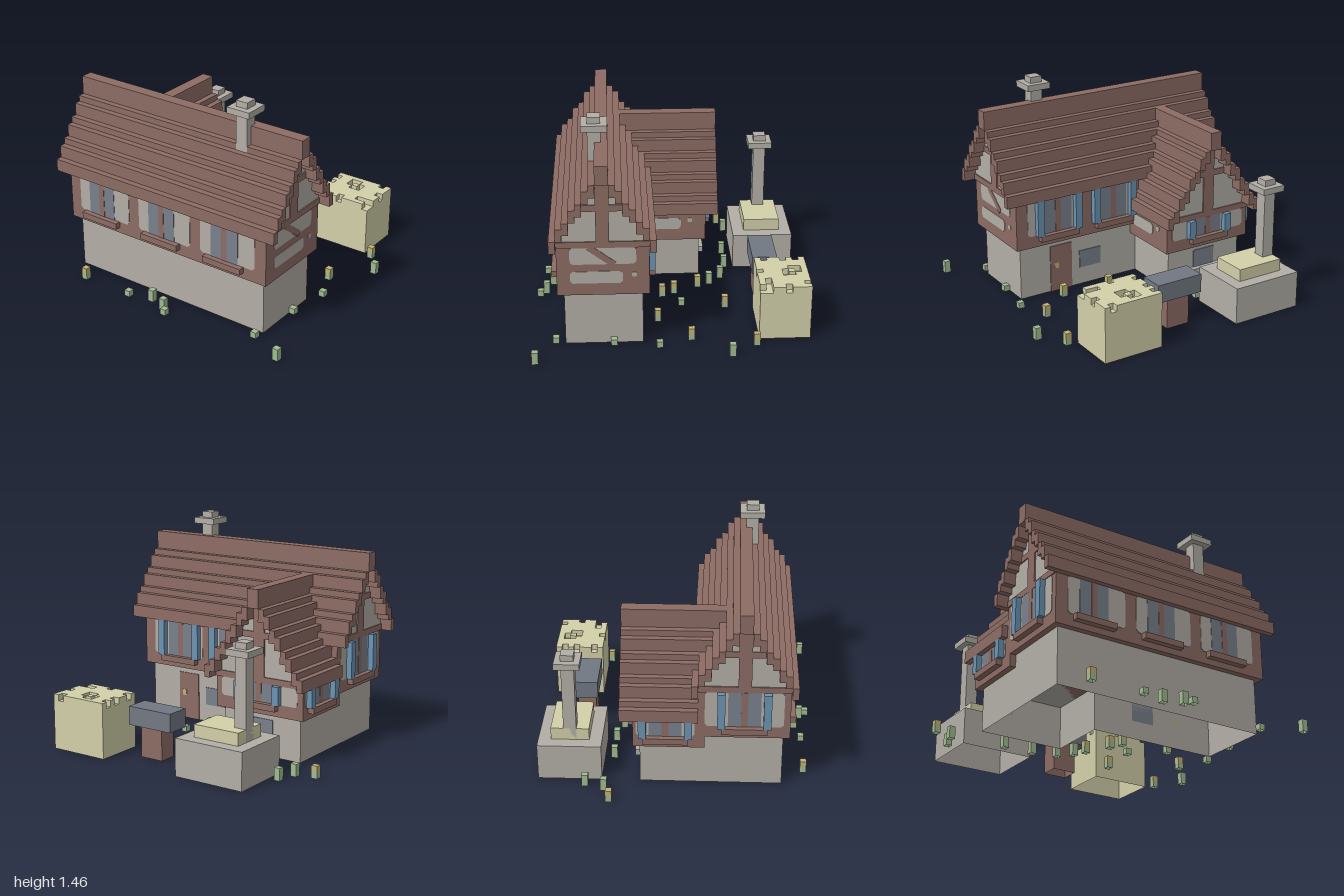
import * as THREE from 'three';

const mat = (name, color) =>
  Object.assign(new THREE.MeshStandardMaterial({ color, side: THREE.DoubleSide }), { name });

export function createModel() {
  const timber = mat('timber', 0x8d6c64), stone = mat('stone and plaster', 0xb3afa7);
  const glass = mat('glass', 0x7a818d), blue = mat('shutter blue', 0x6c94b3);
  const iron = mat('iron', 0x727883), straw = mat('straw', 0xd3d0a9);
  const leaf = mat('grass', 0xa1bb92), gold = mat('flower gold', 0xc0b378);

  // Everything is laid out in blocks; 24 blocks make one unit
  const model = new THREE.Group();
  model.name = 'cottageWithForge';
  model.scale.setScalar(1 / 24);

  const group = (name, parent = model) => {
    const g = new THREE.Group();
    g.name = name;
    parent.add(g);
    return g;
  };
  const box = (name, m, x0, x1, y0, y1, z0, z1, parent = model) => {
    const mesh = new THREE.Mesh(new THREE.BoxGeometry(x1 - x0, y1 - y0, z1 - z0), m);
    mesh.position.set((x0 + x1) / 2, (y0 + y1) / 2, (z0 + z1) / 2);
    mesh.name = name;
    parent.add(mesh);
    return mesh;
  };
  // Leaves out sides of a box; sides are +x, -x, +y, -y, +z, -z
  const open = (mesh, sides) => {
    const index = Array.from(mesh.geometry.index.array);
    mesh.geometry.setIndex(index.filter((_, i) => !sides.includes(Math.floor(i / 6))));
    mesh.geometry.clearGroups();
  };
  // A wall face: local x runs along the wall, local z points outward
  const face = (name, x, z, turn) => {
    const g = group(name);
    g.position.set(x, 0, z);
    g.rotation.y = turn * Math.PI / 2;
    return g;
  };
  const plate = (name, m, f, x0, x1, y0, y1, t) => box(name, m, x0, x1, y0, y1, 0, t, f);

  // Plaster panel with clipped corners
  const panel = (f, x0, x1, y0, y1) => {
    const c = Math.min(0.4, (y1 - y0) / 4);
    const shape = new THREE.Shape([
      [x0 + c, y0], [x1 - c, y0], [x1, y0 + c], [x1, y1 - c],
      [x1 - c, y1], [x0 + c, y1], [x0, y1 - c], [x0, y0 + c],
    ].map(p => new THREE.Vector2(...p)));
    const mesh = new THREE.Mesh(new THREE.ExtrudeGeometry(shape, { depth: 0.08, bevelEnabled: false }), stone);
    mesh.name = 'plasterPanel';
    f.add(mesh);
  };

  // Window five blocks wide, with optional shutters
  const windowAt = (f, c, y, h, shutters) => {
    plate('pane', glass, f, c - 2.5, c - 0.5, y, y + h, 0.15);
    plate('pane', glass, f, c + 0.5, c + 2.5, y, y + h, 0.15);
    plate('mullion', timber, f, c - 0.5, c + 0.5, y, y + h, 0.22);
    box('windowSill', timber, c - 3.5, c + 3.5, y - 1, y, 0, 1, f);
    if (shutters) {
      for (const s of [-1, 1]) box('shutter', blue, c + s * 3.5 - 0.6, c + s * 3.5 + 0.6, y, y + h, 0, 1, f);
    }
  };

  // Stone ground floors, hollow and open below, joined into an L
  open(box('mainStoneWalls', stone, -18, 18, 0, 9, 4.5, 16.5), [3, 5]);
  open(box('wingStoneWalls', stone, -18, -4, 0, 7, -5.5, 4.5), [3, 4]);
  open(box('mainBackStoneWall', stone, -4, 18, 0, 9, 4.5, 5), [0, 1, 2, 3, 4]);
  open(box('stoneLintel', stone, -18, -4, 7, 9, 4.5, 5), [0, 1, 2, 3, 4]);

  // Overhanging timber storeys
  box('mainTimberStorey', timber, -19, 19, 9, 17, 3.5, 17.5);
  box('wingTimberStorey', timber, -19, -3, 7, 12, -6.5, 4.5);

  // Stepped roof with plaster attic; j counts the courses from the ridge
  const roof = (name, steps, ridge, base, halfLength, overhang, endIn) => {
    const g = group(name);
    const top = j => (j === 0 ? ridge : ridge - 3 - Math.floor((j - 1) * 1.5));
    const under = j => top(j) - (j === 0 ? 3 : 2);
    for (let j = 0; j < steps; j++) {
      const end = j === steps - 1 ? endIn[1] : endIn[0];
      const start = -halfLength - overhang;
      if (j === 0) box('ridgeBeam', timber, -1, 1, under(0), ridge, start, end, g);
      else for (const s of [-1, 1]) {
        const c = s * (j + 0.5);
        box('roofCourse', timber, c - 0.5, c + 0.5, under(j), top(j), start, end, g);
      }
      if (j < steps - 1) {
        const low = j === steps - 2 ? base : under(j + 1);
        box('atticWall', stone, -j - 1, j + 1, low, under(j), -halfLength, endIn[0] - overhang, g);
      }
    }
    return g;
  };
  const mainRoof = roof('mainRoof', 8, 31, 17, 19, 2, [21, 21]);
  mainRoof.position.set(0, 0, 10.5);
  mainRoof.rotation.y = Math.PI / 2;
  const wingRoof = roof('wingRoof', 9, 27, 12, 6.5, 2, [7.5, 3.5]);
  wingRoof.position.x = -11;

  // Timber framing on a gable
  const gableFrame = (f, ridge, beam, half) => {
    plate('gablePost', timber, f, -1, 1, beam, ridge - 3, 0.2);
    plate('gableBeam', timber, f, -half, half, beam, beam + 1, 0.2);
    plate('collarBeam', timber, f, -3, 3, ridge - 8, ridge - 7, 0.2);
  };

  // Front wall: three windows in plaster panels
  const front = face('frontWall', 0, 17.5, 0);
  [[-12.5, -17], [-0.5, -5], [11.5, 7]].forEach(([c, x]) => {
    panel(front, x, x + 10, 11, 17);
    windowAt(front, c, 11, 6, false);
  });

  // Back wall beside the wing (local x is mirrored)
  const back = face('backWall', 0, 3.5, 2);
  panel(back, -17, -7, 11, 17);
  panel(back, -5, 2.8, 11, 17);
  windowAt(back, -11.5, 11, 6, true);
  windowAt(back, -1, 11, 6, true);

  // Gable with diagonal brace on the plain side
  const plain = face('plainGable', 19, 10.5, 1);
  gableFrame(plain, 31, 17, 7);
  panel(plain, -5, 5, 14.2, 17);
  panel(plain, -5, 3, 11, 13);
  panel(plain, 4.3, 5.1, 12, 12.8);
  const brace = plate('brace', timber, plain, -2.4, 2.4, 15.1, 16.1, 0.16);
  brace.rotation.z = -0.65;
  brace.position.set(-0.2, 15.6, 0.08);

  // Gable with a shuttered window on the other side
  const shuttered = face('shutteredGable', -19, 10.5, -1);
  gableFrame(shuttered, 31, 17, 7);
  panel(shuttered, -6, 6, 11, 17);
  windowAt(shuttered, 0, 11, 6, true);

  // Wing walls
  const wingBack = face('wingGable', -11, -6.5, 2);
  panel(wingBack, -7, 7, 9, 12);
  gableFrame(wingBack, 27, 12, 8);
  windowAt(wingBack, 0, 9, 3, true);
  const wingOuter = face('wingOuterWall', -19, -1.5, -1);
  panel(wingOuter, -4.5, 4.5, 9, 12);
  windowAt(wingOuter, 0, 9, 3, true);
  const wingInner = face('wingInnerWall', -3, 0, 1);
  panel(wingInner, -3.4, 2.4, 9, 11);
  panel(wingInner, 3.5, 4.3, 10.2, 11);

  // Ground floor door and windows at the back
  const ground = face('backGroundFloor', 0, 4.5, 2);
  plate('door', timber, ground, -12.5, -8.5, 0, 8, 0.15);
  plate('doorKnob', gold, ground, -11.8, -11, 4, 5, 0.22);
  plate('groundWindow', glass, ground, -7, -3, 3, 6, 0.15);
  const wingGround = face('wingGroundFloor', -11, -5.5, 2);
  plate('groundWindow', glass, wingGround, -2, 2, 3, 6, 0.15);
  box('groundSill', stone, -3, 3, 2, 3, 0, 1, wingGround);

  // Chimneys: shaft with a wide collar
  const chimney = (name, x, z, y0, y1) => {
    const g = group(name);
    box('shaft', stone, x - 1, x + 1, y0, y1, z - 1, z + 1.03, g);
    box('collar', stone, x - 2, x + 2, y1 - 2, y1 - 1, z - 2, z + 2, g);
  };
  chimney('houseChimney', 11, 11.5, 27, 35);
  chimney('forgeChimney', -15, -16.5, 6, 21);

  // Forge and anvil
  open(box('forgeBase', stone, -18, -6, 0, 6, -21.5, -11.5), [3]);
  box('forgeBed', straw, -16, -8, 6, 8, -19.5, -13.5);
  open(box('anvilBlock', timber, 0, 4, 0, 5, -17, -14), [3]);
  box('anvil', iron, -2, 6, 5, 8, -17.5, -13.5);

  // Straw bale with a notched top layer
  const bale = group('strawBale');
  open(box('baleBody', straw, 8, 18, 0, 8, -21.5, -13.5, bale), [3]);
  ['########.#', '.##..#####', '###.#.####', '.###..###.', '##########', '##########', '.######...', '####.####.']
    .forEach((row, r) => {
      for (const run of row.matchAll(/#+/g)) {
        const x = 8 + run.index, z = -21.5 + r;
        box('baleTop', straw, x, x + run[0].length, 8, 9, z, z + 1, bale);
      }
    });

  // Grass tufts [x, z, height] and flowers [x, z], open below
  const meadow = group('meadow');
  const tufts = [[-19.5, -14, 2], [-20.5, -11, 2], [-11.5, -10, 2], [-6.5, -10, 2], [-2.5, -9, 2], [-0.5, -7, 2],
    [6.5, -2, 1], [22.5, -9, 2], [19.5, 2, 1], [-1.5, 19, 2], [-5.5, 20, 1], [1.5, 20, 2], [2.5, 21, 1],
    [23.5, 21, 2], [17.5, 18, 1], [18.5, 9, 1]];
  const flowers = [[-23.5, -10], [-14.5, 20], [0.5, -5], [2.5, -1], [3.5, 1], [7.5, -9], [19.5, -13], [17.5, -3], [11.5, 2]];
  const sprout = (name, m, x, z, y0, y1) =>
    open(box(name, m, x - 0.5, x + 0.5, y0, y1, z - 0.5, z + 0.5, meadow), [3]);
  for (const [x, z, h] of tufts) sprout('grassTuft', leaf, x, z, 0, h);
  for (const [x, z] of flowers) {
    sprout('flowerStem', leaf, x, z, 0, 1);
    sprout('flowerHead', gold, x, z, 1, 2);
  }
  return model;
}
